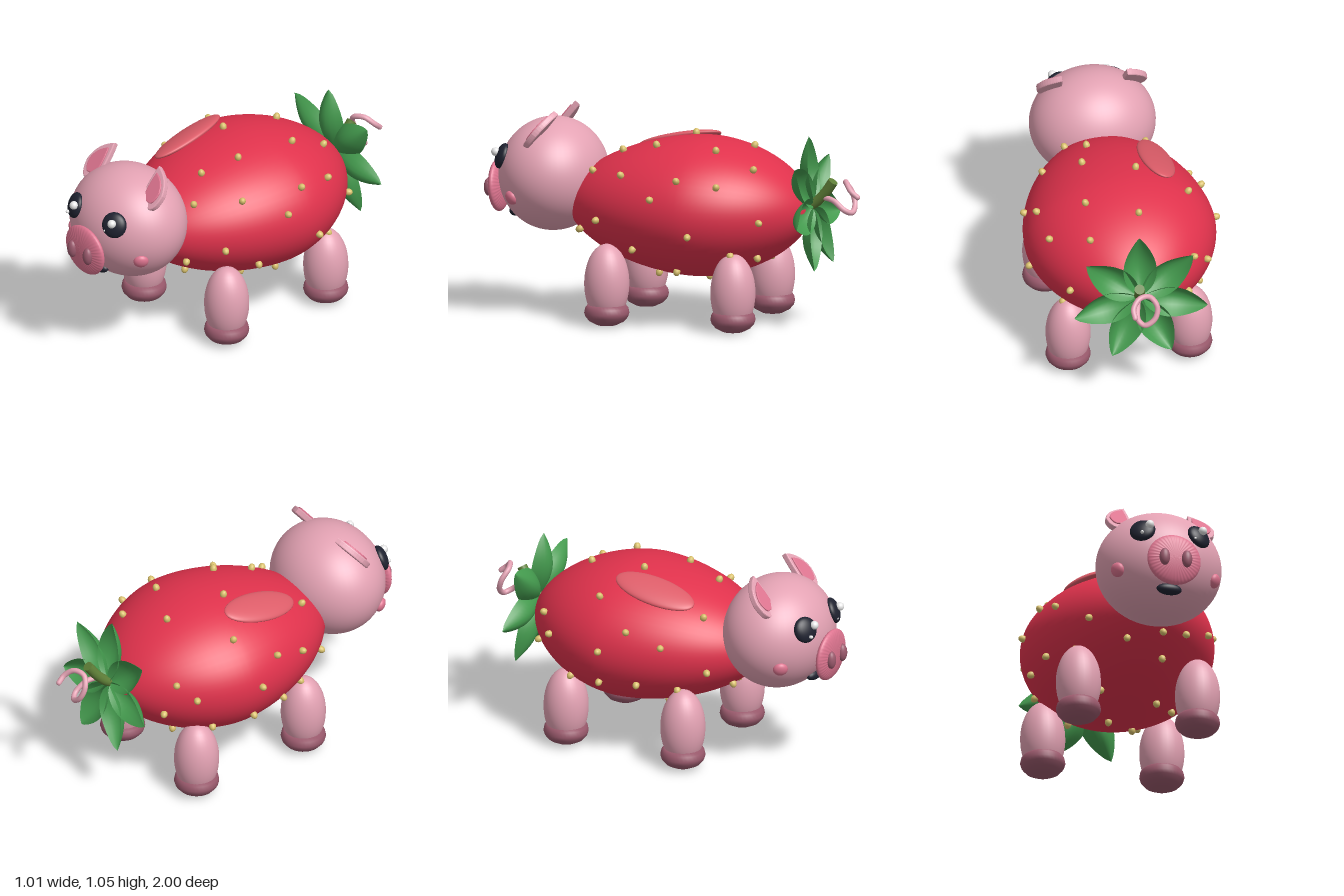
import * as THREE from 'three';

const mat = (name, color, side = THREE.FrontSide) => {
  const m = new THREE.MeshStandardMaterial({ color, side });
  m.name = name;
  return m;
};
const V = (x, y, z) => new THREE.Vector3(x, y, z);
const Z = V(0, 0, 1);

// Strawberry body: egg profile along z, squashed in y
const BODY = { y: 0.59, z: -0.15, r: 0.487, squash: 0.727, front: 0.72, back: 0.57 };
const bodyRadius = z => {
  const d = z - BODY.z;
  const t = Math.min(1, Math.abs(d) / (d > 0 ? BODY.front : BODY.back));
  return BODY.r * Math.pow(1 - Math.pow(t, 1.8), 0.58);
};
const bodyPoint = (z, a) => {
  const r = bodyRadius(z), slope = (bodyRadius(z + 0.01) - bodyRadius(z - 0.01)) / 0.02;
  return {
    p: V(r * Math.cos(a), BODY.y + BODY.squash * r * Math.sin(a), z),
    n: V(Math.cos(a), Math.sin(a) / BODY.squash, -slope).normalize(),
  };
};

// Head ellipsoid
const HEAD = { c: V(0, 0.7125, 0.645), r: V(0.321, 0.2875, 0.275) };
const headPoint = (x, y) => {
  const dx = x / HEAD.r.x, dy = (y - HEAD.c.y) / HEAD.r.y;
  const dz = Math.sqrt(1 - dx * dx - dy * dy);
  return {
    p: V(x, y, HEAD.c.z + dz * HEAD.r.z),
    n: V(dx / HEAD.r.x, dy / HEAD.r.y, dz / HEAD.r.z).normalize(),
  };
};

export function createModel() {
  const pink = mat('skin pink', 0xe3a2b3);
  const rose = mat('snout rose', 0xde7590);
  const hoofMat = mat('hoof mauve', 0x9b5a6d);
  const red = mat('strawberry red', 0xe0324c);
  const sheen = mat('highlight red', 0xdc5c68);
  const seedMat = mat('seed yellow', 0xd8c06c);
  const green = mat('leaf green', 0x43994d, THREE.DoubleSide);
  const stemMat = mat('stem olive', 0x5f7f38);
  const dark = mat('eye black', 0x1f2230);
  const white = mat('eye white', 0xeeeeee);

  const model = new THREE.Group();
  model.name = 'strawberryPig';
  model.position.x = 0.004;
  const root = new THREE.Group();
  root.add(model);

  const add = (name, geo, material, parent = model) => {
    const m = new THREE.Mesh(geo, material);
    m.name = name;
    parent.add(m);
    return m;
  };
  const ball = (name, material, p, rx, ry, rz, n, seg = 24) => {
    const m = add(name, new THREE.SphereGeometry(1, seg, Math.ceil(seg * 0.7)), material);
    m.position.copy(p);
    m.scale.set(rx, ry, rz);
    if (n) m.quaternion.setFromUnitVectors(Z, n);
    return m;
  };

  // Body
  const profile = [];
  for (let i = 0; i <= 48; i++) {
    const c = -Math.cos(Math.PI * i / 48);
    const z = BODY.z + c * (c > 0 ? BODY.front : BODY.back);
    profile.push(new THREE.Vector2(Math.max(bodyRadius(z), 0.0001), z));
  }
  const bodyGeo = new THREE.LatheGeometry(profile, 64);
  bodyGeo.rotateX(Math.PI / 2).scale(1, BODY.squash, 1).translate(0, BODY.y, 0);
  add('strawberryBody', bodyGeo, red);

  // Glossy patch on the upper side
  const gloss = bodyPoint(0.05, 2.07);
  const patch = ball('glossPatch', sheen, gloss.p, 0.092, 0.028, 0.22, null, 36);
  patch.quaternion.setFromUnitVectors(V(0, 1, 0), gloss.n);

  // Seeds: position along the body and angle around it in degrees
  const seeds = [
    [-.53, 157], [-.46, 176], [-.4, 97], [-.2, 134], [-.13, 176], [-.08, 101], [0, 157], [.18, 166],
    [.32, 128], [.38, 196], [-.48, 56], [-.28, 65], [-.345, 29], [-.145, 31], [-.02, 15], [.175, 37],
    [.37, 52], [.045, 70], [.24, 75], [-.22, -14], [.3, -10], [-.545, -5], [.43, -38], [.1, -33],
    [.35, -72], [.03, -70], [-.1, -56], [-.17, -94], [-.29, -75], [.48, -70], [.23, 216], [-.15, 206],
    [.05, 205], [.09, 251], [.43, 246], [-.35, 215], [-.45, 245], [-.5, -55], [-.58, 200], [-.4, -38],
  ];
  for (const [z, deg] of seeds) {
    const s = bodyPoint(z, THREE.MathUtils.degToRad(deg));
    ball('seed', seedMat, s.p.addScaledVector(s.n, 0.008), 0.018, 0.018, 0.023, s.n, 12);
  }

  // Legs and hooves
  const hoofGeo = new THREE.LatheGeometry(
    [[0.0001, 0.003], [0.05, 0.008], [0.088, 0.027], [0.108, 0.05], [0.114, 0.07], [0.109, 0.095], [0.095, 0.112], [0.0001, 0.115]]
      .map(p => new THREE.Vector2(...p)), 36);
  for (const [name, z, top] of [['front', 0.26, 0.42], ['back', -0.41, 0.405]]) {
    for (const side of [-1, 1]) {
      ball(name + 'Leg', pink, V(side * 0.311, top - 0.2, z), 0.114, 0.2, 0.114, null, 32);
      add(name + 'Hoof', hoofGeo, hoofMat).position.set(side * 0.311, 0, z);
    }
  }

  // Head, mouth, snout with fluted rim, nostrils
  ball('head', pink, HEAD.c, HEAD.r.x, HEAD.r.y, HEAD.r.z, null, 56);
  ball('mouth', dark, V(0, 0.515, 0.845), 0.065, 0.03, 0.03);
  const snoutGeo = new THREE.SphereGeometry(1, 160, 24).rotateX(Math.PI / 2);
  const sp = snoutGeo.attributes.position;
  for (let i = 0; i < sp.count; i++) {
    const x = sp.getX(i), y = sp.getY(i), r = Math.hypot(x, y);
    const k = 1 + 0.06 * r * r * Math.cos(40 * Math.atan2(y, x));
    sp.setXYZ(i, x * 0.139, y * 0.133, sp.getZ(i) * 0.037 * k);
  }
  snoutGeo.computeVertexNormals();
  const snout = add('snout', snoutGeo, rose);
  snout.position.set(0, 0.636, 0.937);
  snout.rotation.x = 0.06;
  for (const side of [-1, 1]) {
    ball('nostril', hoofMat, V(side * 0.058, 0.633, 0.973), 0.027, 0.046, 0.024);

    // Eyes with two glints each
    const eye = headPoint(side * 0.146, 0.81);
    ball('eye', dark, eye.p, 0.065, 0.066, 0.032, eye.n, 32);
    const lift = side < 0 ? 0.0 : -0.006;
    ball('eyeGlint', white, V(side * 0.146 + 0.021 - side * 0.007, 0.832, 0.908 + lift), 0.022, 0.022, 0.022);
    ball('eyeGlintSmall', white, V(side * 0.146 - 0.02 - side * 0.007, 0.783, 0.912 + lift), 0.009, 0.009, 0.012, null, 12);

    // Cheeks
    const cheek = headPoint(side * 0.253, 0.617);
    ball('cheek', rose, cheek.p, 0.038, 0.037, 0.024, cheek.n);
  }

  // Ears: pointed plates leaning back, with a rosy inner face
  const earShape = k => {
    const s = new THREE.Shape();
    s.moveTo(-0.045 * k, 0.17 * k);
    s.quadraticCurveTo(0.045 * k, 0.13 * k, 0.062 * k, 0.045 * k);
    s.quadraticCurveTo(0.06 * k, -0.02 * k, 0.03 * k, -0.04 * k);
    s.lineTo(-0.045 * k, -0.04 * k);
    s.quadraticCurveTo(-0.062 * k, 0.04 * k, -0.045 * k, 0.17 * k);
    return s;
  };
  const bevel = { bevelEnabled: true, bevelThickness: 0.006, bevelSize: 0.005, bevelSegments: 2, curveSegments: 10 };
  const earGeo = new THREE.ExtrudeGeometry(earShape(1), { depth: 0.02, ...bevel });
  const innerGeo = new THREE.ExtrudeGeometry(earShape(0.68), { depth: 0.006, ...bevel, bevelThickness: 0.003 });
  innerGeo.translate(0, 0.018, 0.025);
  for (const side of [-1, 1]) {
    const ear = new THREE.Group();
    ear.name = side < 0 ? 'rightEar' : 'leftEar';
    ear.position.set(side * 0.215, 0.905, 0.68);
    ear.rotation.x = -0.68;
    ear.scale.x = side;
    add('earOuter', earGeo, pink, ear);
    add('earInner', innerGeo, rose, ear);
    model.add(ear);
  }

  // Leafy crown: seven cupped leaves around the stem
  const leafGeo = new THREE.PlaneGeometry(2, 1, 8, 14);
  const lp = leafGeo.attributes.position;
  for (let i = 0; i < lp.count; i++) {
    const s = lp.getX(i), t = lp.getY(i) + 0.5;
    const w = Math.pow(Math.max(0, Math.sin(Math.PI * Math.pow(t, 0.85))), 0.8);
    lp.setXYZ(i, s * w * 0.085, 0.01 + 0.34 * t, 0.055 * Math.sin(Math.PI * t) - 0.07 * s * s * w - 0.02 * t);
  }
  leafGeo.computeVertexNormals();
  const crown = new THREE.Group();
  crown.name = 'leafCrown';
  crown.position.set(0, 0.62, -0.73);
  crown.rotation.x = 0.12;
  for (let i = 0; i < 7; i++) add('leaf', leafGeo, green, crown).rotation.z = i * Math.PI * 2 / 7;
  model.add(crown);

  // Stem with a capped end
  const stemPath = new THREE.CatmullRomCurve3([V(0, 0.6, -0.68), V(0.006, 0.64, -0.75), V(0.014, 0.69, -0.8), V(0.022, 0.752, -0.845)]);
  add('stem', new THREE.TubeGeometry(stemPath, 16, 0.026, 14), stemMat);
  const cap = add('stemEnd', new THREE.CircleGeometry(0.026, 14), stemMat);
  cap.position.copy(stemPath.getPoint(1));
  cap.quaternion.setFromUnitVectors(Z, stemPath.getTangent(1));

  // Curly tail
  const tailPath = new THREE.CatmullRomCurve3([
    V(0.01, 0.67, -0.77), V(0.033, 0.655, -0.85), V(0.04, 0.61, -0.91), V(0.01, 0.595, -0.94), V(-0.04, 0.63, -0.94),
    V(-0.055, 0.69, -0.92), V(-0.02, 0.74, -0.9), V(0.035, 0.75, -0.92), V(0.072, 0.715, -0.955), V(0.07, 0.685, -0.99),
  ]);
  add('tail', new THREE.TubeGeometry(tailPath, 80, 0.014, 12), pink);
  ball('tailTip', pink, tailPath.getPoint(1), 0.014, 0.014, 0.014, null, 12);

  return root;
}
